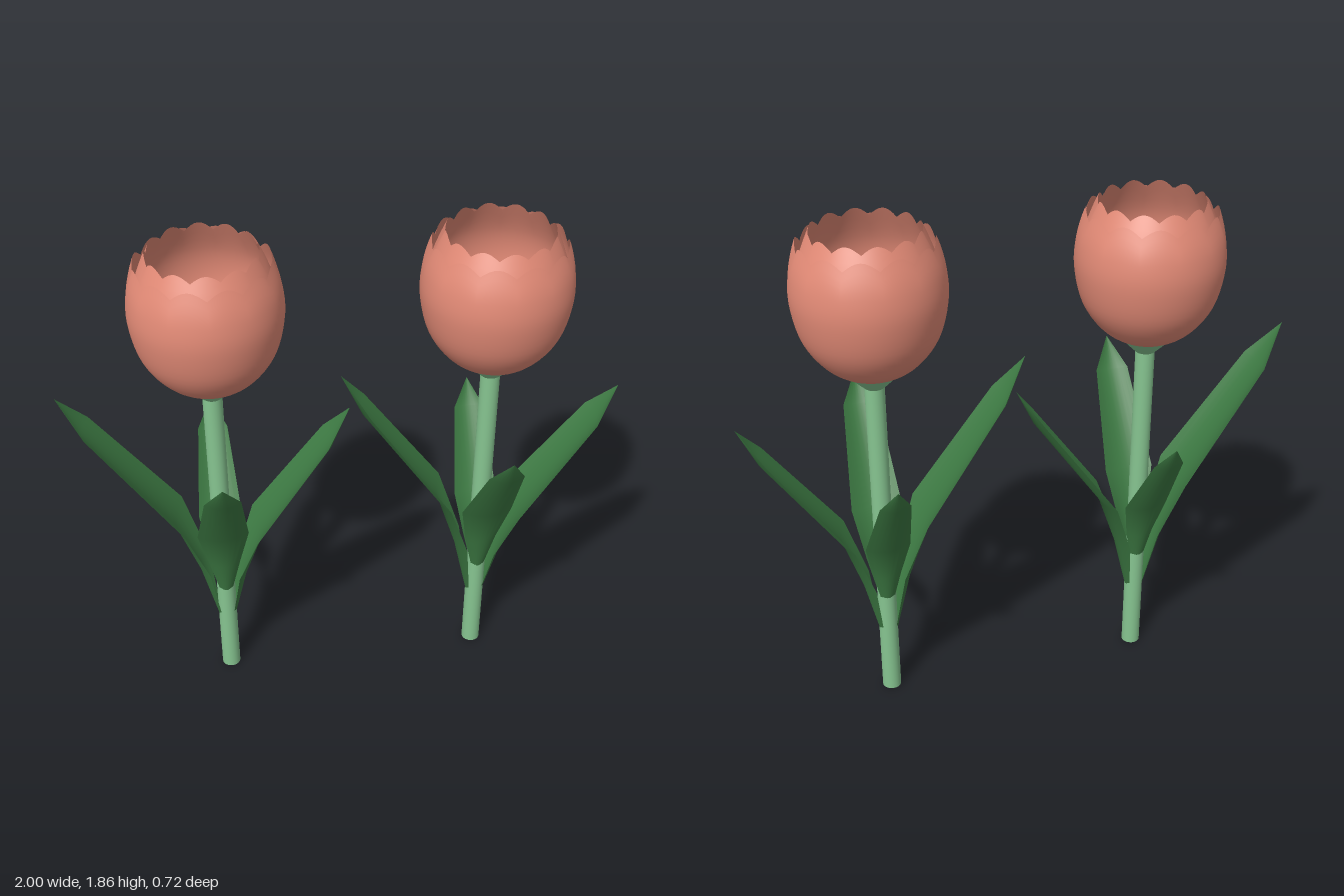
import * as THREE from 'three';

const mat = (color) => new THREE.MeshStandardMaterial({ color, side: THREE.DoubleSide });
const stemMat = mat(0x86c490);
const leafMat = mat(0x3d7a43);
const petalMat = mat(0xe28a76);

function part(name, geometry, material) {
  const mesh = new THREE.Mesh(geometry, material);
  mesh.name = name;
  return mesh;
}

const lathe = (points, sides) =>
  new THREE.LatheGeometry(points.map(([r, y]) => new THREE.Vector2(r, y)), sides);

// Cup of fused petals: a smooth lathe whose rim is pulled up into rounded lobes
function petalCup(profile, lobes, lobeHeight, phase) {
  const curve = new THREE.SplineCurve(profile.map(([r, y]) => new THREE.Vector2(r, y)));
  const geo = new THREE.LatheGeometry(curve.getPoints(28), 96);
  const pos = geo.attributes.position;
  const rim = profile[profile.length - 1][1];
  for (let i = 0; i < pos.count; i++) {
    const angle = Math.atan2(pos.getX(i), pos.getZ(i));
    const k = THREE.MathUtils.smoothstep(pos.getY(i), rim - 0.12, rim);
    const lobe = Math.abs(Math.sin((angle * lobes) / 2 + phase));
    pos.setY(i, pos.getY(i) + k * lobeHeight * lobe);
  }
  return geo;
}

// Leaf stations along +x: reach, height, half width, lift of the edges above the midrib
const STATIONS = [
  [0.033, 0, 0.018, 0.01],
  [0.092, 0.255, 0.078, 0.036],
  [0.168, 0.485, 0.123, 0.033],
  [0.462, 0.91, 0.083, 0.028],
  [0.535, 1.066, 0, 0],
];

// Channelled blade, cupped towards the stem
function leafGeometry(base, reach, height, width) {
  const across = 8;
  const mid = STATIONS.map(([x, y]) => new THREE.Vector2(x * reach, base + y * height));
  const positions = [];
  const index = [];
  mid.forEach((p, i) => {
    const a = mid[Math.max(i - 1, 0)];
    const b = mid[Math.min(i + 1, mid.length - 1)];
    const t = b.clone().sub(a).normalize();
    const [, , halfWidth, lift] = STATIONS[i];
    for (let j = 0; j <= across; j++) {
      const s = (j / across) * 2 - 1;
      const up = lift * width * s * s;
      positions.push(p.x - t.y * up, p.y + t.x * up, s * halfWidth * width);
      if (i < mid.length - 1 && j < across) {
        const k = i * (across + 1) + j;
        const n = k + across + 1;
        index.push(k, k + 1, n, k + 1, n + 1, n);
      }
    }
  });
  const geo = new THREE.BufferGeometry();
  geo.setAttribute('position', new THREE.Float32BufferAttribute(positions, 3));
  geo.setIndex(index);
  geo.computeVertexNormals();
  return geo;
}

function createTulip() {
  const tulip = new THREE.Group();
  tulip.name = 'tulip';

  // Stem and the flared collar under the bloom
  const stem = part('stem', new THREE.CylinderGeometry(0.035, 0.035, 1.32, 24), stemMat);
  stem.position.y = 0.66;
  tulip.add(stem);
  tulip.add(part('collar', lathe([[0.034, 1.285], [0.05, 1.3], [0.075, 1.325], [0.1, 1.35]], 24), stemMat));

  // Bloom: lower outer cup and taller inner cup
  const bloom = new THREE.Group();
  bloom.name = 'bloom';
  bloom.add(part('outerPetals', petalCup([
    [0, 1.328], [0.08, 1.338], [0.165, 1.39], [0.232, 1.485],
    [0.261, 1.61], [0.255, 1.71], [0.227, 1.79],
  ], 12, 0.032, 0), petalMat));
  bloom.add(part('innerPetals', petalCup([
    [0, 1.345], [0.08, 1.355], [0.155, 1.405], [0.218, 1.495],
    [0.245, 1.61], [0.235, 1.72], [0.185, 1.83],
  ], 12, 0.026, Math.PI / 2), petalMat));
  tulip.add(bloom);

  // Four leaves: name, turn, base height, reach, height and width factors
  [
    ['rightLeaf', Math.PI, 0.26, 1, 1, 1],
    ['leftLeaf', 0, 0.255, 0.9, 0.877, 0.95],
    ['frontLeaf', -Math.PI / 2, 0.36, 0.73, 0.76, 0.76],
    ['backLeaf', Math.PI / 2, 0.36, 0.62, 0.65, 0.66],
  ].forEach(([name, turn, base, reach, height, width]) => {
    const leaf = part(name, leafGeometry(base, reach, height, width), leafMat);
    leaf.rotation.y = turn;
    tulip.add(leaf);
  });
  return tulip;
}

export function createModel() {
  const model = new THREE.Group();
  model.name = 'tulips';
  for (const x of [-0.465, 0.519]) {
    const tulip = createTulip();
    tulip.position.set(x, 0, -0.027);
    model.add(tulip);
  }
  return model;
}
